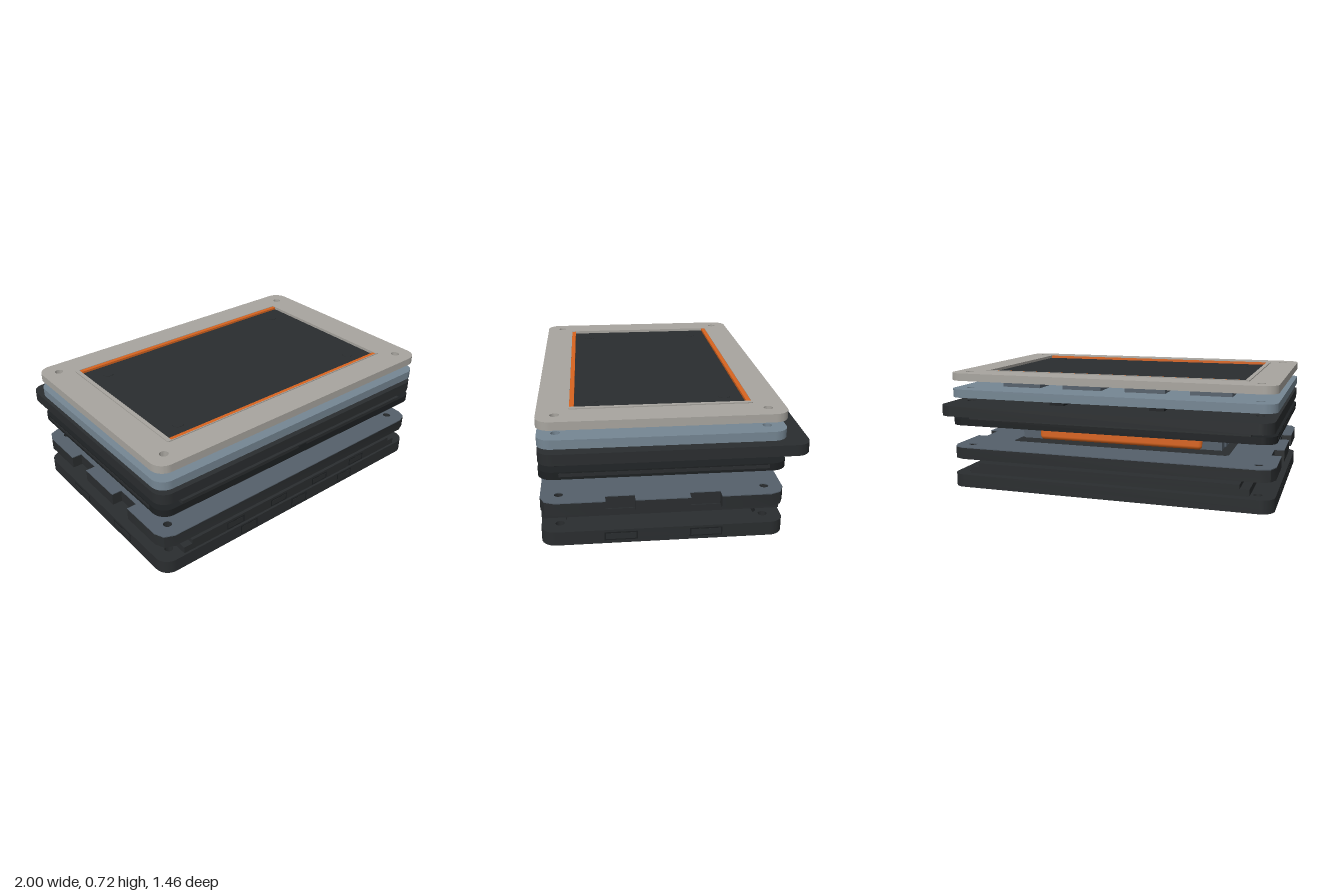
import * as THREE from 'three';
import { toCreasedNormals } from 'three/addons/utils/BufferGeometryUtils.js';
import { RoundedBoxGeometry } from 'three/addons/geometries/RoundedBoxGeometry.js';

const mat = (color) => new THREE.MeshStandardMaterial({ color });
const DARK = mat(0x2a2d2f), BLACK = mat(0x1d2022), SLATE = mat(0x55606b);
const BLUE = mat(0x758693), GREY = mat(0xa8a59f), ORANGE = mat(0xd8641f);
const FRONT = 0.73, BACK = -0.6;
const SCREWS = [[-0.9, 0.63], [0.9, 0.63], [-0.9, -0.5], [0.9, -0.5]];

// Rounded rectangle drawn on plan, given as x and z limits
function plan(x0, x1, z0, z1, r, Type = THREE.Shape) {
  const s = new Type(), a = -z1, b = -z0, q = Math.PI / 2;
  s.moveTo(x0 + r, a);
  s.lineTo(x1 - r, a);
  s.absarc(x1 - r, a + r, r, -q, 0);
  s.lineTo(x1, b - r);
  s.absarc(x1 - r, b - r, r, 0, q);
  s.lineTo(x0 + r, b);
  s.absarc(x0 + r, b - r, r, q, 2 * q);
  s.lineTo(x0, a + r);
  s.absarc(x0 + r, a + r, r, 2 * q, 3 * q);
  return s;
}

function addScrewHoles(shape) {
  for (const [x, z] of SCREWS) {
    const hole = new THREE.Path();
    hole.absarc(x, -z, 0.025, 0, Math.PI * 2);
    shape.holes.push(hole);
  }
  return shape;
}

function slab(group, name, shape, y0, y1, material) {
  let g = new THREE.ExtrudeGeometry(shape, { depth: y1 - y0, bevelEnabled: false, curveSegments: 8 });
  g = toCreasedNormals(g.rotateX(-Math.PI / 2).translate(0, y0, 0), 0.6);
  const m = new THREE.Mesh(g, material);
  m.name = name;
  group.add(m);
}

// Box given by its limits on each axis
function box(group, name, x0, x1, y0, y1, z0, z1, material) {
  const m = new THREE.Mesh(new THREE.BoxGeometry(x1 - x0, y1 - y0, z1 - z0), material);
  m.position.set((x0 + x1) / 2, (y0 + y1) / 2, (z0 + z1) / 2);
  m.name = name;
  group.add(m);
}

// Plate outline with screw holes and an optional rectangular opening
function plate(opening, back = BACK) {
  const s = addScrewHoles(plan(-1, 1, back, FRONT, 0.08));
  if (opening) s.holes.push(plan(...opening, 0.03, THREE.Path));
  return s;
}

// Plate outline with two notches in each side
function notchedPlate() {
  const pts = [[-0.92, FRONT], [0.92, FRONT], [0.976, 0.706], [1, 0.65]];
  for (const [a, b] of [[0.38, 0.22], [-0.08, -0.25]]) pts.push([1, a], [0.94, a], [0.94, b], [1, b]);
  pts.push([1, -0.52], [0.976, -0.576], [0.92, BACK]);
  const left = pts.slice(2).reverse().map(([x, z]) => [-x, z]);
  return addScrewHoles(new THREE.Shape([...pts, ...left].map(([x, z]) => new THREE.Vector2(x, -z))));
}

function createModel() {
  const root = new THREE.Group();
  const layer = (name) => {
    const g = new THREE.Group();
    g.name = name;
    root.add(g);
    return g;
  };

  // Bottom tray with ports in its walls
  const base = layer('baseTray');
  slab(base, 'trayFloor', plate(), 0, 0.03, DARK);
  slab(base, 'trayWall', plate([-0.88, 0.88, -0.47, 0.6]), 0.03, 0.08, DARK);
  for (const x of [-0.4, 0, 0.4]) {
    box(base, 'frontPortRim', x - 0.063, x + 0.063, 0.012, 0.071, 0.69, 0.731, BLACK);
    box(base, 'frontPort', x - 0.055, x + 0.055, 0.018, 0.065, 0.69, 0.732, DARK);
  }
  for (const s of [-1, 1]) for (const z of [0.3, -0.165]) {
    box(base, 'sidePortRim', s * 0.98 - 0.021, s * 0.98 + 0.021, 0.018, 0.067, z - 0.09, z + 0.09, BLACK);
    box(base, 'sidePort', s * 0.98 - 0.022, s * 0.98 + 0.022, 0.025, 0.06, z - 0.082, z + 0.082, DARK);
  }

  // Stepped circuit tray
  const inner = layer('innerTray');
  box(inner, 'lowerStep', -0.865, 0.865, 0.095, 0.135, BACK, FRONT, DARK);
  box(inner, 'upperStep', -0.81, 0.81, 0.135, 0.16, BACK, FRONT, DARK);
  for (const x of [-0.5, -0.17, 0.17, 0.5]) {
    box(inner, 'connectorRim', x - 0.063, x + 0.063, 0.1, 0.146, 0.7, 0.731, BLACK);
    box(inner, 'connector', x - 0.055, x + 0.055, 0.106, 0.14, 0.7, 0.732, DARK);
  }

  // Notched carrier with a coloured deck
  const carrier = layer('carrierPlate');
  slab(carrier, 'carrierBody', notchedPlate(), 0.18, 0.25, DARK);
  const deck = notchedPlate();
  deck.holes.push(plan(-0.7, 0.7, -0.34, 0.47, 0.03, THREE.Path));
  slab(carrier, 'carrierDeck', deck, 0.25, 0.255, SLATE);

  // Power cell with ribbed ends in a rounded sleeve
  const cell = layer('powerCell');
  box(cell, 'cellCore', -0.65, 0.65, 0.27, 0.358, -0.28, 0.415, SLATE);
  for (const s of [-1, 1]) for (let i = 0; i < 8; i++) {
    const rib = new THREE.Mesh(new RoundedBoxGeometry(0.12, 0.09, 0.06, 2, 0.012), SLATE);
    rib.position.set(s * 0.603, 0.314, 0.3475 - (i - 0.5) * 0.08);
    rib.name = 'endRib';
    cell.add(rib);
  }
  const sleeve = new THREE.Mesh(new RoundedBoxGeometry(1.06, 0.095, 0.73, 4, 0.025), ORANGE);
  sleeve.position.set(0, 0.315, 0.065);
  sleeve.name = 'cellSleeve';
  cell.add(sleeve);
  box(cell, 'cellPad', -0.3, 0.3, 0.36, 0.376, -0.23, 0.37, ORANGE);

  // Cover with a raised middle and open screw corners
  const cover = layer('middleCover');
  slab(cover, 'coverPlate', plate(), 0.393, 0.435, BLACK);
  box(cover, 'coverRaised', -0.865, 0.865, 0.435, 0.455, BACK, FRONT, DARK);
  box(cover, 'coverLatch', -0.03, 0.03, 0.437, 0.45, 0.7, 0.733, BLACK);
  for (const s of [-1, 1]) box(cover, 'sideStrip', s * 0.99 - 0.011, s * 0.99 + 0.011, 0.408, 0.428, -0.5, 0.62, DARK);

  // Long plate reaching out at the back
  const long = layer('longPlate');
  slab(long, 'longPlateBody', plate(null, -0.73), 0.472, 0.535, DARK);
  for (const x of [-0.31, 0.31]) box(long, 'rail', x - 0.045, x + 0.045, 0.535, 0.548, -0.53, 0.53, BLACK);

  // Module plate with four blocks and their studs
  const modules = layer('modulePlate');
  slab(modules, 'modulePlateBody', plate(), 0.565, 0.616, BLUE);
  for (const x of [-0.6, -0.2, 0.2, 0.6]) {
    box(modules, 'moduleBlock', x - 0.125, x + 0.125, 0.616, 0.642, -0.4, 0.53, SLATE);
    for (const z of [0.3, -0.165]) {
      const stud = new THREE.Mesh(new THREE.CylinderGeometry(0.015, 0.015, 0.016, 16), DARK);
      stud.position.set(x, 0.649, z);
      stud.name = 'stud';
      modules.add(stud);
    }
  }

  // Top frame holding the dark panel and its trim
  const top = layer('topFrame');
  const opening = [-0.8, 0.8, -0.43, 0.555];
  slab(top, 'frameBody', plate(opening), 0.67, 0.716, GREY);
  const lip = plan(-0.825, 0.825, -0.435, 0.56, 0.01);
  lip.holes.push(plan(...opening, 0.005, THREE.Path));
  slab(top, 'frameLip', lip, 0.716, 0.722, GREY);
  box(top, 'panel', -0.8, 0.8, 0.675, 0.705, -0.43, 0.555, DARK);
  for (const [a, b] of [[-0.43, -0.405], [0.53, 0.555]]) box(top, 'panelTrim', -0.8, 0.8, 0.7, 0.719, a, b, ORANGE);
  for (const x of [-0.67, 0.67]) for (const z of [-0.305, 0.43]) {
    const disc = new THREE.Mesh(new THREE.CylinderGeometry(0.033, 0.033, 0.004, 24), DARK);
    disc.position.set(x, 0.705, z);
    disc.name = 'panelButton';
    top.add(disc);
  }
  return root;
}

export { createModel };
